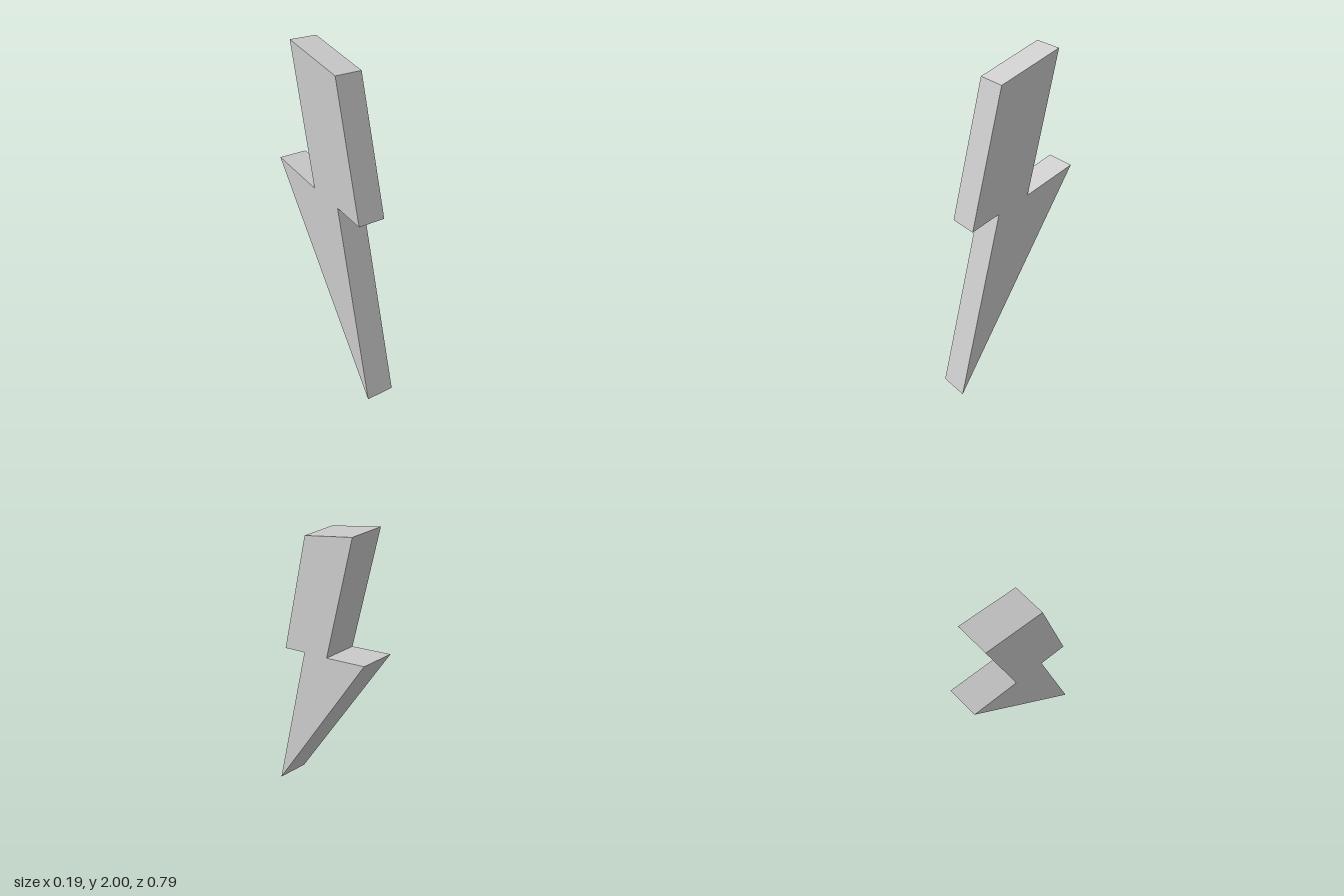
import * as THREE from 'three';

export function createModel() {
  const group = new THREE.Group();
  group.name = 'lightningBolt';
  const width = 0.19;

  // Side outline: first value points to the back, second is the height
  const outline = [
    [-0.393, 0], [0.393, 1.286], [0.08, 1.18], [0.283, 2],
    [-0.1, 1.865], [-0.3, 1.058], [-0.12, 1.117],
  ].map(([back, y]) => new THREE.Vector2(back, y));

  // Extrude across the width, then turn the outline into the yz plane
  const geometry = new THREE.ExtrudeGeometry(new THREE.Shape(outline), {
    depth: width,
    bevelEnabled: false,
  });
  geometry.translate(0, 0, -width / 2).rotateY(Math.PI / 2);

  const material = new THREE.MeshStandardMaterial({ color: 0xcccccc, flatShading: true });
  const bolt = new THREE.Mesh(geometry, material);
  bolt.name = 'bolt';
  group.add(bolt);
  return group;
}
